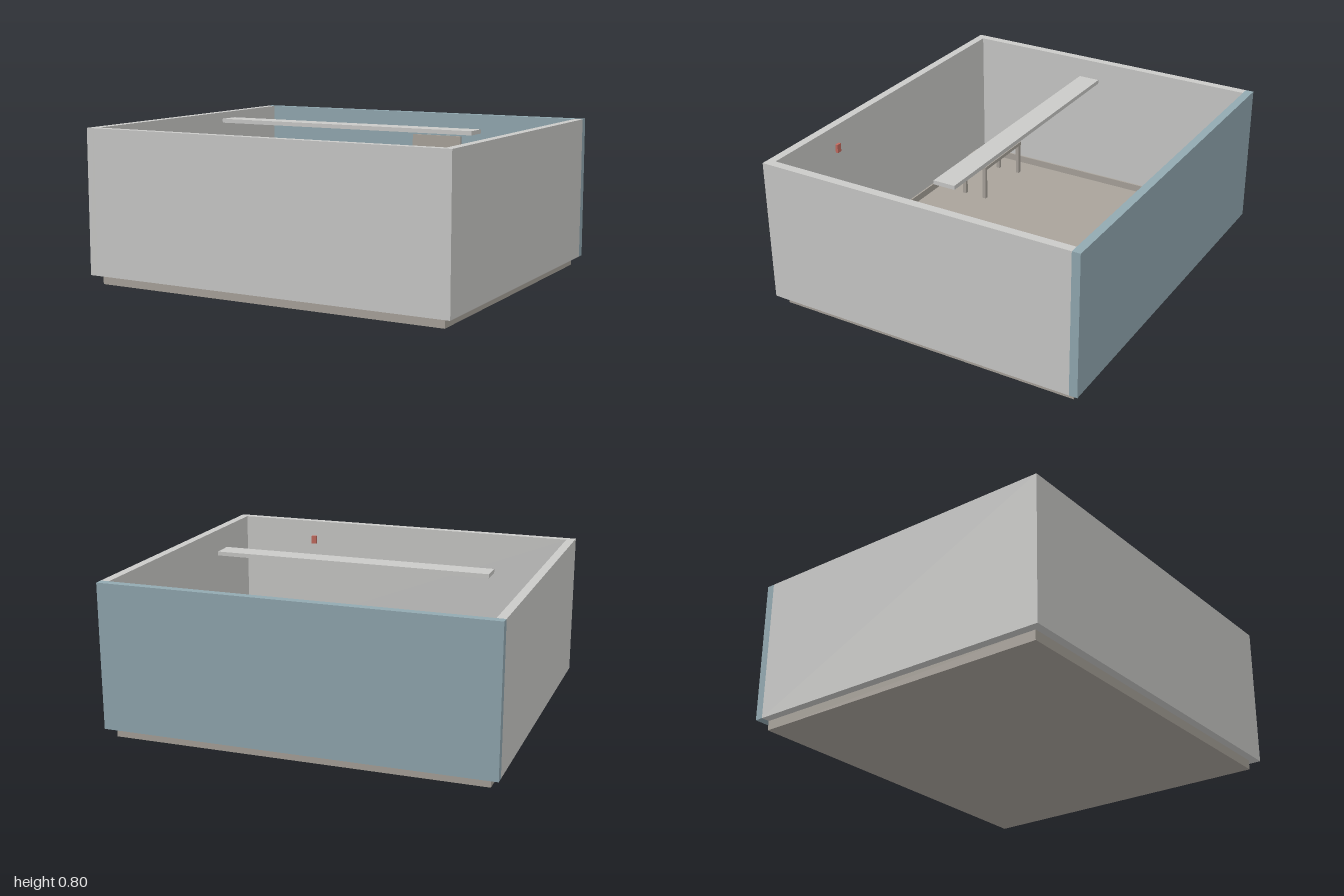
import * as THREE from 'three';

export function createModel() {
  const room = new THREE.Group();
  room.name = 'openRoom';

  const material = (name, color) => {
    const m = new THREE.MeshStandardMaterial({ color });
    m.name = name;
    return m;
  };
  const grey = material('light grey', 0xcacac8);
  const blue = material('slate blue', 0x92a9b1);
  const taupe = material('taupe', 0xa9a39b);
  const red = material('soft red', 0xc36b5f);

  const add = (name, geometry, mat, x, y, z) => {
    const mesh = new THREE.Mesh(geometry, mat);
    mesh.name = name;
    mesh.position.set(x, y, z);
    room.add(mesh);
  };
  // Box given by its limits along each axis
  const box = (name, mat, [x0, x1], [y0, y1], [z0, z1]) =>
    add(name, new THREE.BoxGeometry(x1 - x0, y1 - y0, z1 - z0), mat,
      (x0 + x1) / 2, (y0 + y1) / 2, (z0 + z1) / 2);
  // Upright cylinder standing between two heights
  const drum = (name, mat, r, x, z, y0, y1) =>
    add(name, new THREE.CylinderGeometry(r, r, y1 - y0, 32), mat, x, (y0 + y1) / 2, z);

  const F = 0.05; // floor level

  // Shell: floor slab and four walls
  box('floor', taupe, [-0.955, 0.955], [0, F], [-0.82, 0.82]);
  box('backWall', blue, [-1, 1], [F, 0.8], [-0.863, -0.82]);
  box('frontWall', grey, [-0.955, 0.955], [F, 0.8], [0.82, 0.863]);
  for (const s of [-1, 1]) {
    box('sideWall', grey, s < 0 ? [-1, -0.955] : [0.955, 1], [F, 0.8], [-0.82, 0.863]);
    box('sideSkirting', taupe, s < 0 ? [-0.955, -0.946] : [0.946, 0.955], [F, 0.09], [-0.82, 0.82]);
  }
  box('frontSkirting', taupe, [-0.946, 0.946], [F, 0.09], [0.811, 0.82]);
  box('backSkirting', taupe, [-0.946, 0.946], [F, 0.09], [-0.82, -0.817]);

  // Overhead plank
  box('ceilingPanel', grey, [-0.735, 0.735], [0.775, 0.796], [-0.06, 0.055]);

  // Counter along the back wall with things on it
  box('counterBody', grey, [-0.675, 0.19], [F, 0.3], [-0.815, -0.613]);
  box('counterTop', grey, [-0.69, 0.3], [0.3, 0.33], [-0.82, -0.61]);
  box('counterBox', grey, [-0.583, -0.465], [0.33, 0.38], [-0.75, -0.66]);
  drum('counterPot', taupe, 0.047, -0.37, -0.705, 0.33, 0.375);
  box('counterJar', grey, [-0.25, -0.22], [0.33, 0.38], [-0.71, -0.68]);

  // Panel hung on the back wall
  box('wallScreen', taupe, [0, 0.3], [0.48, 0.676], [-0.8, -0.79]);

  // Cabinet in the back corner and the round stool beside it
  box('cornerCabinet', grey, [0.75, 0.955], [F, 0.34], [-0.82, -0.455]);
  drum('stool', taupe, 0.065, 0.695, -0.225, F, 0.2);

  // Low table near the front with two boxes
  box('tableTop', taupe, [-0.833, -0.427], [0.23, 0.25], [0.49, 0.65]);
  for (const x of [-0.82, -0.44])
    for (const z of [0.503, 0.637])
      box('tableLeg', taupe, [x - 0.01, x + 0.01], [F, 0.23], [z - 0.01, z + 0.01]);
  box('redBox', red, [-0.675, -0.543], [0.25, 0.3], [0.515, 0.603]);
  box('smallBox', taupe, [-0.541, -0.45], [0.25, 0.29], [0.543, 0.62]);

  // Small alarm high on the front wall
  box('alarm', red, [0.501, 0.529], [0.675, 0.72], [0.779, 0.793]);

  return room;
}
